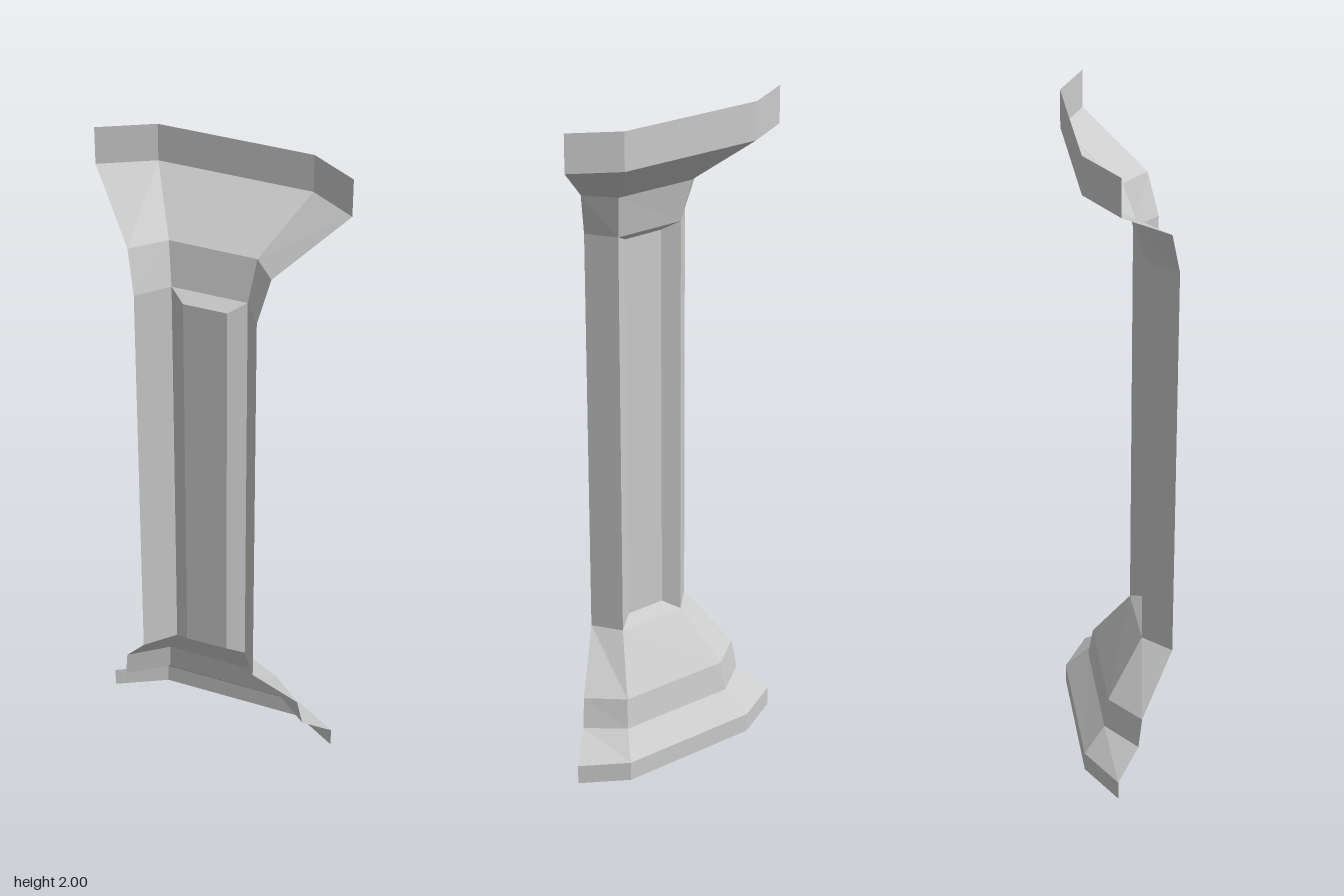
import * as THREE from 'three';

const material = new THREE.MeshStandardMaterial({
  color: 0xcccccc, flatShading: true, side: THREE.DoubleSide,
});

// Place a flat [x, z] outline at height y
const ring = (y, outline) => outline.map(([x, z]) => [x, y, z]);

// Skin each strip of rows (bottom to top) with quads facing outward
function skin(name, ...strips) {
  const positions = [];
  for (const rows of strips) {
    for (let r = 0; r < rows.length - 1; r++) {
      const low = rows[r], up = rows[r + 1];
      for (let i = 0; i < low.length - 1; i++) {
        positions.push(...low[i], ...up[i], ...up[i + 1]);
        positions.push(...low[i], ...up[i + 1], ...low[i + 1]);
      }
    }
  }
  const geometry = new THREE.BufferGeometry();
  geometry.setAttribute('position', new THREE.Float32BufferAttribute(positions, 3));
  geometry.computeVertexNormals();
  const mesh = new THREE.Mesh(geometry, material);
  mesh.name = name;
  return mesh;
}

export function createModel() {
  const group = new THREE.Group();
  group.name = 'cornerColumn';

  // Three-sided open outlines
  const slab = [[-0.257, -0.256], [-0.096, -0.208], [0.216, 0.103], [0.255, 0.255]];
  const neck = [[-0.257, 0.008], [-0.148, 0.005], [0.007, 0.157], [-0.01, 0.255]];
  const throat = [[-0.257, -0.03], [-0.141, -0.027], [0.037, 0.15], [0.03, 0.255]];
  const shoulder = [[-0.257, -0.14], [-0.12, -0.123], [0.126, 0.126], [0.137, 0.255]];
  const plinthTop = [[-0.257, -0.157], [-0.117, -0.138], [0.142, 0.123], [0.156, 0.255]];

  // Stepped base
  group.add(skin('base', [
    ring(0, slab), ring(0.06, slab), ring(0.13, plinthTop),
    ring(0.222, shoulder), ring(0.387, neck),
  ]));

  // Shaft with a recessed panel on its diagonal face
  const panel = [[-0.138, 0.06], [-0.048, 0.147]];
  const shaftRow = (yEdge, yPanel) => {
    const e = ring(yEdge, neck);
    return [e[0], e[1], ...ring(yPanel, panel), e[2], e[3]];
  };
  const bottom = shaftRow(0.387, 0.415), top = shaftRow(1.63, 1.605);
  group.add(skin('shaft', [bottom, top]));

  // Sloping ledges that close the recess
  const outer = (row) => [row[1], row[4]];
  const inner = (row) => [row[2], row[3]];
  group.add(skin('panelLedges',
    [outer(bottom), inner(bottom)], [inner(top), outer(top)]));

  // Flared capital
  group.add(skin('capital', [
    ring(1.63, neck), ring(1.755, throat), ring(1.89, slab), ring(2, slab),
  ]));

  return group;
}
